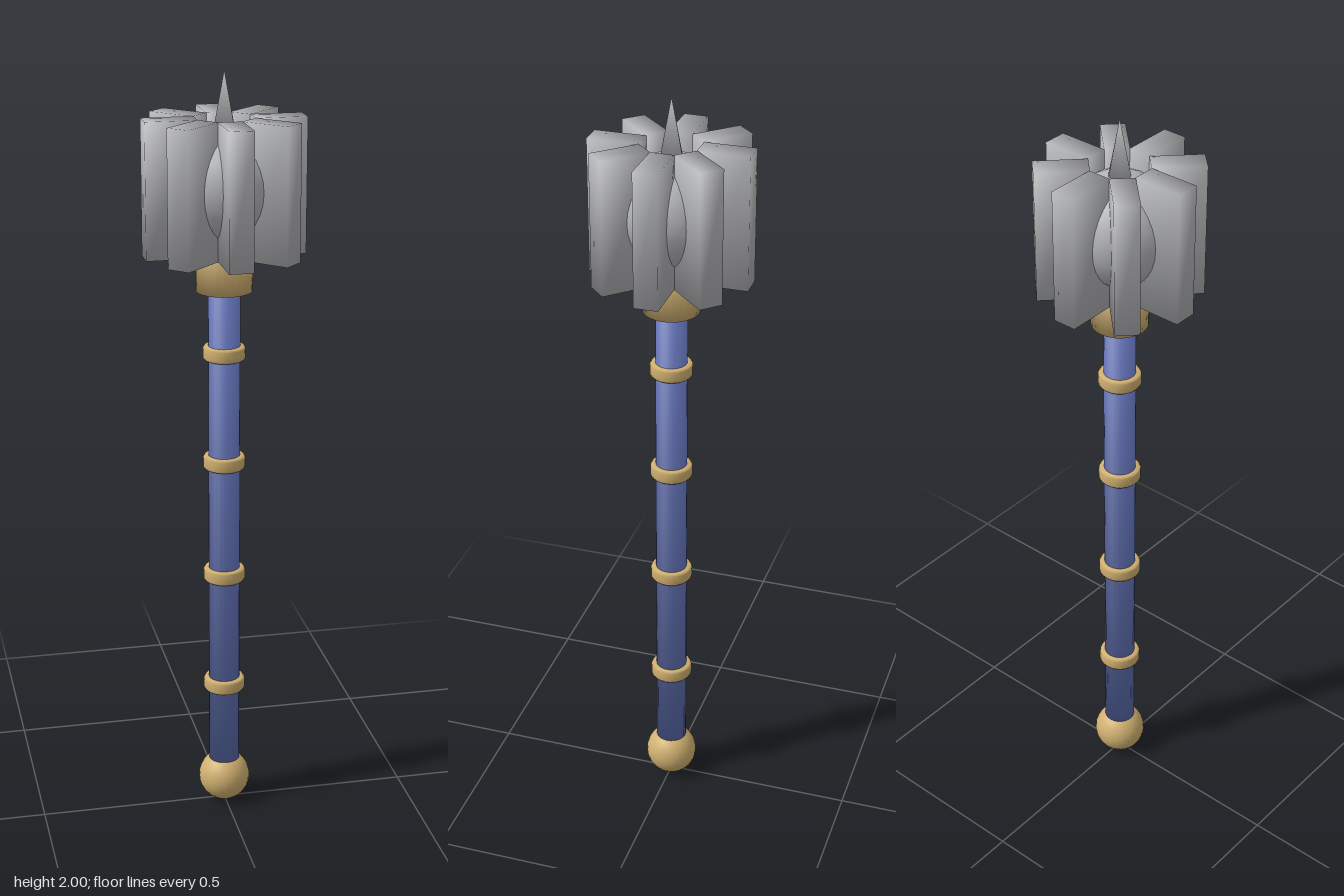
import * as THREE from 'three';

const steel = new THREE.MeshStandardMaterial({ color: 0xb4b5b8 });
steel.name = 'steel';
const gold = new THREE.MeshStandardMaterial({ color: 0xd0b070 });
gold.name = 'gold';
const blue = new THREE.MeshStandardMaterial({ color: 0x6070b4 });
blue.name = 'blue grip';

// Averages the distinct normals meeting at each corner, for soft shading over edges
function soften(geometry) {
  const pos = geometry.attributes.position;
  const nor = geometry.attributes.normal;
  const corners = new Map();
  const keyOf = (i) => [pos.getX(i), pos.getY(i), pos.getZ(i)].map((v) => Math.round(v * 1e4)).join();
  for (let i = 0; i < pos.count; i++) {
    const n = new THREE.Vector3().fromBufferAttribute(nor, i);
    const key = keyOf(i);
    if (!corners.has(key)) corners.set(key, []);
    const list = corners.get(key);
    if (!list.some((m) => m.dot(n) > 0.999)) list.push(n);
  }
  for (let i = 0; i < pos.count; i++) {
    const sum = new THREE.Vector3();
    corners.get(keyOf(i)).forEach((n) => sum.add(n));
    sum.normalize();
    nor.setXYZ(i, sum.x, sum.y, sum.z);
  }
  return geometry;
}

export function createModel() {
  const model = new THREE.Group();
  model.name = 'mace';

  const add = (name, geometry, material, y) => {
    const mesh = new THREE.Mesh(geometry, material);
    mesh.name = name;
    mesh.position.y = y;
    model.add(mesh);
    return mesh;
  };
  const cylinder = (r, h) => soften(new THREE.CylinderGeometry(r, r, h, 24));

  // Handle
  add('pommel', new THREE.SphereGeometry(0.069, 24, 16), gold, 0.072);
  add('shaft', cylinder(0.041, 1.4), blue, 0.8);
  add('collar', cylinder(0.072, 0.13), gold, 1.512);

  // Grip rings
  const ringProfile = [[0.038, -0.018], [0.051, -0.018], [0.055, -0.012], [0.055, 0.012], [0.051, 0.018], [0.038, 0.018]]
    .map(([x, y]) => new THREE.Vector2(x, y));
  const ringGeometry = new THREE.LatheGeometry(ringProfile, 24);
  [0.355, 0.675, 0.99, 1.285].forEach((y, i) => add(`gripRing${i + 1}`, ringGeometry, gold, y));

  // Head: round core, eight radial flanges and a top spike
  add('core', new THREE.SphereGeometry(0.142, 16, 16), steel, 1.715);
  const flangeGeometry = soften(new THREE.BoxGeometry(0.062, 0.345, 0.132).translate(0, 0, 0.138));
  for (let i = 0; i < 8; i++) {
    add(`flange${i + 1}`, flangeGeometry, steel, 1.712).rotation.y = (i * Math.PI) / 4;
  }
  add('spike', soften(new THREE.ConeGeometry(0.03, 0.16, 12)), steel, 1.92);

  return model;
}
